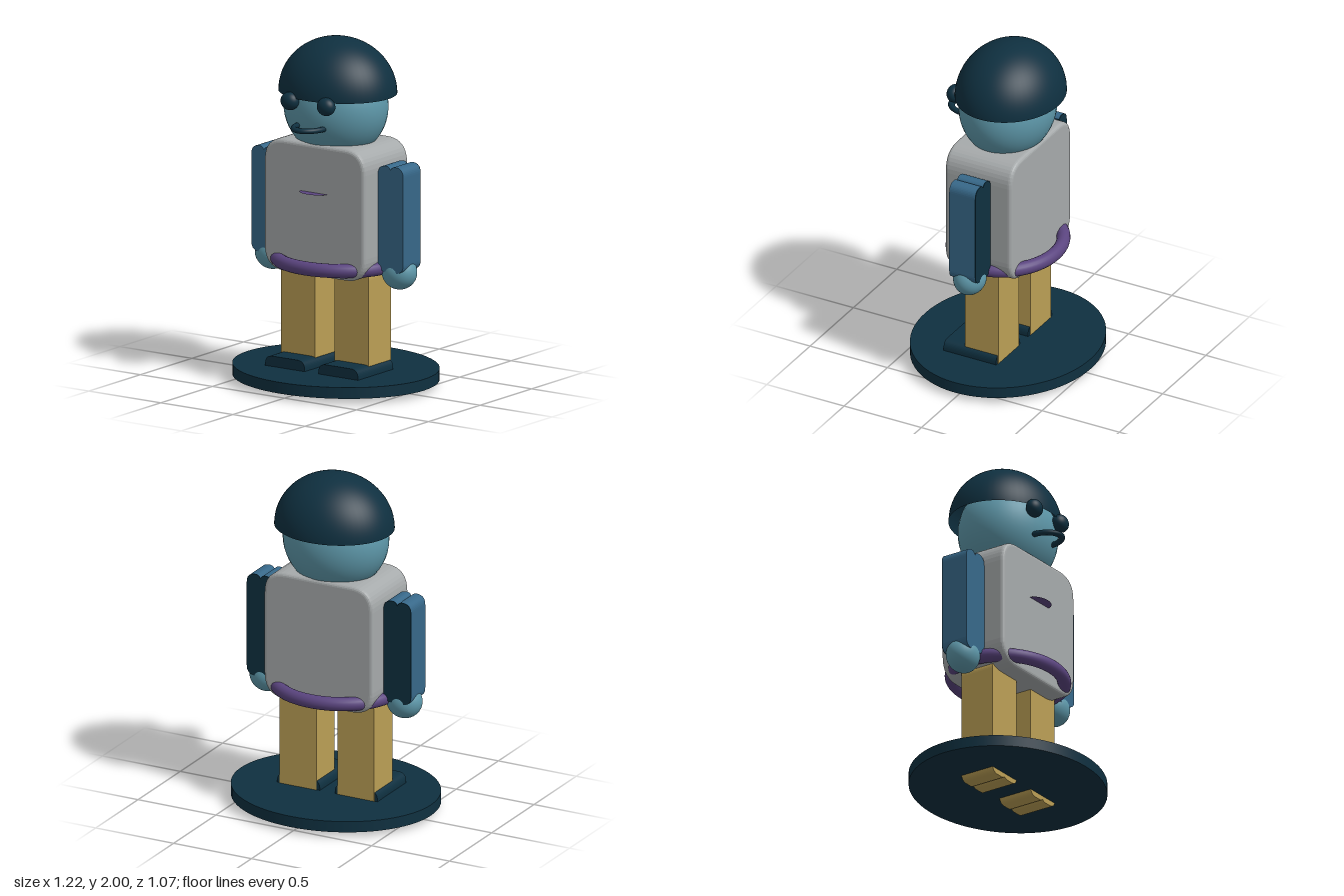
import * as THREE from 'three';

const mat = (name, color, side = THREE.FrontSide) => {
  const m = new THREE.MeshStandardMaterial({ color, side });
  m.name = name;
  return m;
};

// Upright outline with rounded corners and an optional shallow notch in the middle of each end
function slabShape(x0, x1, y0, y1, r, notch = 0) {
  const c = (x0 + x1) / 2, n = 0.03, s = new THREE.Shape();
  s.moveTo(x0 + r, y0);
  if (notch) s.lineTo(c - n, y0).quadraticCurveTo(c - n / 3, y0, c, y0 + notch).quadraticCurveTo(c + n / 3, y0, c + n, y0);
  s.lineTo(x1 - r, y0).quadraticCurveTo(x1, y0, x1, y0 + r);
  s.lineTo(x1, y1 - r).quadraticCurveTo(x1, y1, x1 - r, y1);
  if (notch) s.lineTo(c + n, y1).quadraticCurveTo(c + n / 3, y1, c, y1 - notch).quadraticCurveTo(c - n / 3, y1, c - n, y1);
  s.lineTo(x0 + r, y1).quadraticCurveTo(x0, y1, x0, y1 - r);
  s.lineTo(x0, y0 + r).quadraticCurveTo(x0, y0, x0 + r, y0);
  return s;
}

function extrude(shape, z0, z1, bevel = 0) {
  const g = new THREE.ExtrudeGeometry(shape, {
    depth: z1 - z0 - 2 * bevel, curveSegments: 10, bevelEnabled: bevel > 0,
    bevelSize: bevel, bevelThickness: bevel, bevelOffset: -bevel, bevelSegments: 4,
  });
  return g.translate(0, 0, z0 + bevel);
}

export function createModel() {
  const model = new THREE.Group();
  model.name = 'figure';
  const navy = mat('navy', 0x0f3040, THREE.DoubleSide);
  const skin = mat('paleBlue', 0x5e98aa);
  const grey = mat('grey', 0xa6aaab);
  const blue = mat('blue', 0x376889);
  const tan = mat('tan', 0xbb9f55);
  const purple = mat('purple', 0x5b4580, THREE.DoubleSide);

  const add = (name, geometry, material, x = 0, y = 0, z = 0) => {
    const m = new THREE.Mesh(geometry, material);
    m.name = name;
    m.position.set(x, y, z);
    model.add(m);
    return m;
  };
  const ball = (rx, ry, rz) => new THREE.SphereGeometry(1, 40, 28).scale(rx, ry, rz);

  // Oval base
  add('base', new THREE.CylinderGeometry(1, 1, 0.065, 72).scale(0.61, 1, 0.535), navy, 0, 0.0675, 0);

  // Torso
  add('torso', extrude(slabShape(-0.35, 0.35, 0.655, 1.42, 0.14), -0.215, 0.215, 0.022), grey);

  // Belt ring and small pocket lip on the chest
  add('belt', new THREE.TorusGeometry(1, 0.125, 20, 72).rotateX(Math.PI / 2).scale(0.347, 0.32, 0.302), purple, 0, 0.718, 0);
  add('pocketLip', new THREE.CircleGeometry(1, 24, Math.PI, Math.PI).rotateX(-Math.PI / 2).scale(0.09, 1, 0.06), purple, 0, 1.14, 0.214);

  // Head and half-dome cap
  add('head', ball(0.31, 0.3, 0.27), skin, 0, 1.61, 0);
  add('cap', new THREE.SphereGeometry(1, 56, 24, 0, Math.PI * 2, 0, Math.PI / 2).scale(0.35, 0.315, 0.306), navy, 0, 1.685, -0.018);

  // Mouth: half ring standing out from the face
  add('mouth', new THREE.TorusGeometry(0.089, 0.016, 12, 32, Math.PI).rotateX(Math.PI / 2).scale(1, 1, 1.3), navy, 0, 1.525, 0.24);

  // Paired parts
  for (const s of [1, -1]) {
    const side = s > 0 ? 'left' : 'right';
    const span = (a, b) => (s > 0 ? [a, b] : [-b, -a]);

    add(side + 'Eye', ball(0.056, 0.052, 0.045), navy, s * 0.126, 1.665, 0.272);

    const arm = slabShape(...span(0.352, 0.527), 0.71, 1.325, 0.055, 0.022);
    add(side + 'Arm', extrude(arm, -0.08, 0.085), blue);
    add(side + 'ArmBack', extrude(arm, -0.085, -0.08), navy);
    add(side + 'Hand', ball(0.105, 0.1, 0.092), skin, s * 0.44, 0.7, 0);

    add(side + 'Leg', extrude(slabShape(...span(0.068, 0.304), 0.003, 0.7, 0.05, 0.012), -0.108, 0.108), tan);
    add(side + 'Shoe', extrude(slabShape(...span(0.048, 0.322), 0.045, 0.16, 0.05), -0.103, 0.237), navy);
  }
  return model;
}
